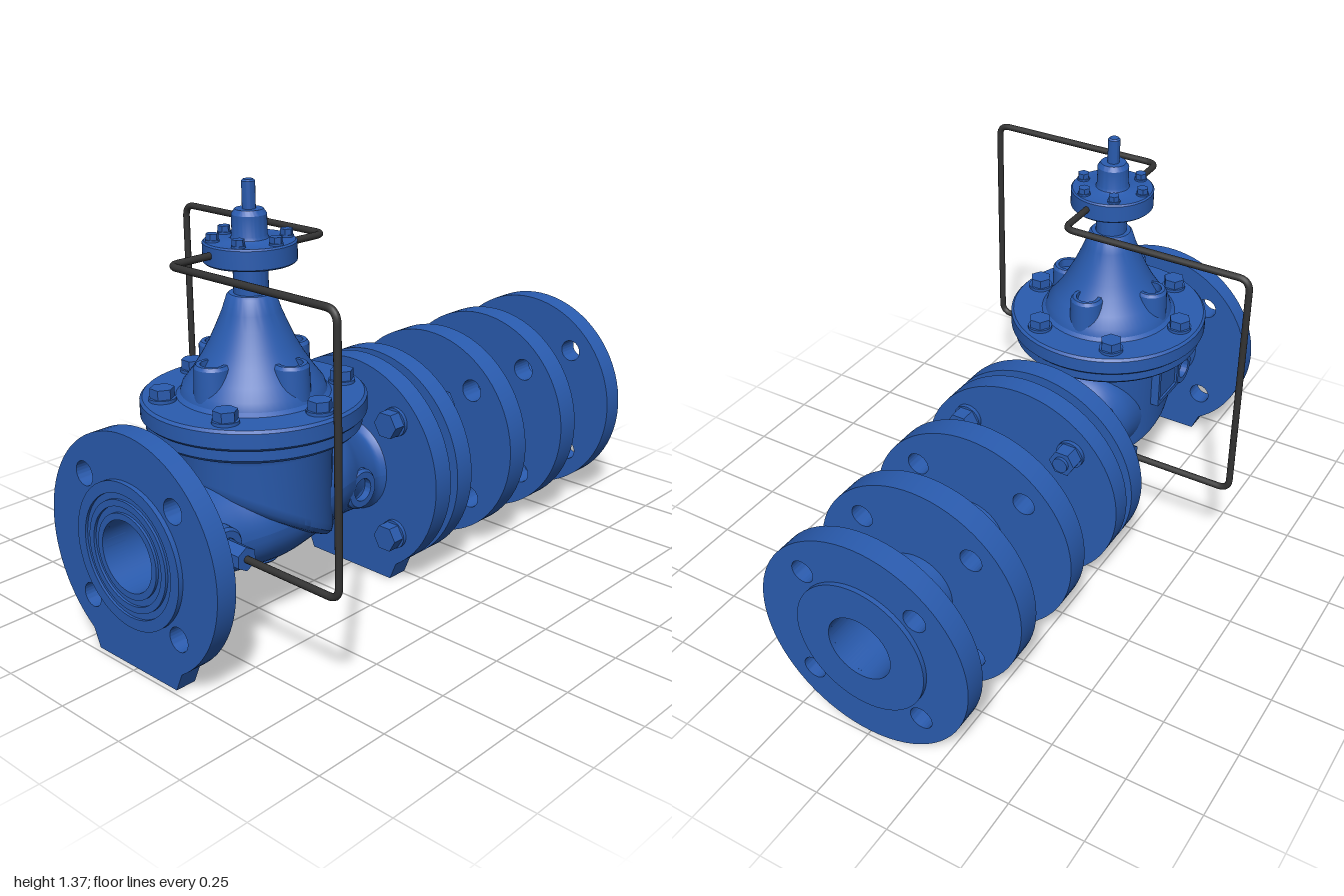
import * as THREE from 'three';
import { toCreasedNormals } from 'three/addons/utils/BufferGeometryUtils.js';

const BLUE = new THREE.MeshStandardMaterial({ color: 0x2a5cb0 });
const DARK = new THREE.MeshStandardMaterial({ color: 0x333333 });
const AXIS_Y = 0.365, VALVE_X = -0.495, FLANGE_R = 0.365, BORE_R = 0.11;

function add(parent, name, geometry, material = BLUE) {
  const mesh = new THREE.Mesh(geometry, material);
  mesh.name = name;
  parent.add(mesh);
  return mesh;
}

// Turned part about y; profile runs counterclockwise as [radius, height]
function turned(profile, segments = 64) {
  const g = new THREE.LatheGeometry(profile.map(([r, y]) => new THREE.Vector2(r, y)), segments);
  return toCreasedNormals(g, 0.55);
}
const turnedX = (profile) => turned(profile).rotateZ(-Math.PI / 2);

const hex = (r, h) => toCreasedNormals(new THREE.CylinderGeometry(r, r, h, 6), 0.5);

function circlePath(x, y, r) {
  const p = new THREE.Path();
  p.absarc(x, y, r, 0, Math.PI * 2, true);
  return p;
}

// Four bolt positions around the pipe axis, as [y, z] offsets
const BOLTS = [[1, 1], [1, -1], [-1, 1], [-1, -1]].map(([a, b]) => [a * 0.195, b * 0.195]);

// Drilled pipe flange, optionally with a flat-bottomed foot
function flange(x0, x1, foot) {
  const s = new THREE.Shape();
  if (foot) {
    s.absarc(0, 0, FLANGE_R, -0.99, Math.PI + 0.99, false);
    s.lineTo(-0.175, -FLANGE_R);
    s.lineTo(0.175, -FLANGE_R);
    s.closePath();
  } else s.absarc(0, 0, FLANGE_R, 0, Math.PI * 2, false);
  s.holes.push(circlePath(0, 0, BORE_R));
  for (const [y, z] of BOLTS) s.holes.push(circlePath(z, y, 0.038));
  const g = new THREE.ExtrudeGeometry(s, { depth: x1 - x0, bevelEnabled: false, curveSegments: 36 });
  return toCreasedNormals(g.rotateY(Math.PI / 2).translate(x0, 0, 0), 0.5);
}

// Valve body along x: elliptical sections of changing height and width
function bodyGeometry() {
  const xs = [-0.93, -0.9, -0.8, -0.7, -0.6, -0.5, -0.4, -0.3, -0.25, -0.2, -0.12, -0.09, -0.06];
  const sections = [ // top y, bottom y, half width in z
    0.54, 0.18, 0.178, 0.507, 0.214, 0.15, 0.5, 0.212, 0.15, 0.505, 0.205, 0.165,
    0.52, 0.2, 0.19, 0.54, 0.195, 0.2, 0.58, 0.21, 0.205, 0.605, 0.228, 0.2,
    0.595, 0.23, 0.185, 0.565, 0.227, 0.165, 0.515, 0.222, 0.148, 0.508, 0.22, 0.146, 0.53, 0.2, 0.165];
  const at = new THREE.CubicInterpolant(xs, sections, 3);
  const g = new THREE.CylinderGeometry(1, 1, 1, 48, 70, true).rotateZ(-Math.PI / 2);
  const p = g.attributes.position;
  for (let i = 0; i < p.count; i++) {
    const x = -0.93 + (p.getX(i) + 0.5) * 0.87;
    const [top, bottom, half] = at.evaluate(Math.min(x, -0.0601));
    p.setXYZ(i, x, (top + bottom) / 2 + p.getY(i) * (top - bottom) / 2, p.getZ(i) * half);
  }
  g.computeVertexNormals();
  return g;
}

// Upright bowl with a slanted floor and the lower bonnet flange on top
function bowlGeometry() {
  const g = new THREE.LatheGeometry([[0, 0], [0.19, 0], [0.215, 0.008], [0.23, 0.025], [0.235, 0.05],
    [0.235, 0.58], [0.24, 0.605], [0.255, 0.625], [0.315, 0.625], [0.325, 0.635], [0.325, 0.665], [0, 0.665]]
    .map(([r, y]) => new THREE.Vector2(r, y)), 64);
  const p = g.attributes.position;
  for (let i = 0; i < p.count; i++)
    if (p.getY(i) < 0.1) p.setY(i, p.getY(i) + 0.33 - 0.56 * p.getX(i));
  return toCreasedNormals(g, 0.55);
}

// Pipe run with rounded corners
function bentTube(points, radius, bend) {
  const v = points.map((p) => new THREE.Vector3(...p));
  const path = new THREE.CurvePath();
  let from = v[0];
  for (let i = 1; i < v.length - 1; i++) {
    const a = v[i - 1].clone().sub(v[i]).setLength(bend).add(v[i]);
    const b = v[i + 1].clone().sub(v[i]).setLength(bend).add(v[i]);
    path.add(new THREE.LineCurve3(from, a));
    path.add(new THREE.QuadraticBezierCurve3(a, v[i], b));
    from = b;
  }
  path.add(new THREE.LineCurve3(from, v[v.length - 1]));
  return new THREE.TubeGeometry(path, 260, radius, 12);
}

// Ring of hex bolts with washers
function boltRing(parent, name, ring, y, r, h) {
  for (let i = 0; i < 6; i++) {
    const a = Math.PI / 2 + i * Math.PI / 3;
    const x = Math.cos(a) * ring, z = Math.sin(a) * ring;
    add(parent, name, hex(r, h)).position.set(x, y + h / 2, z);
    add(parent, name + 'Washer', new THREE.CylinderGeometry(r * 1.1, r * 1.1, h * 0.25, 24))
      .position.set(x, y + h * 0.125, z);
  }
}

export function createModel() {
  const model = new THREE.Group();
  model.name = 'controlValveWithPipe';

  // Flanges and pipe along the x axis
  const run = new THREE.Group();
  run.name = 'pipeRun';
  run.position.y = AXIS_Y;
  model.add(run);
  add(run, 'inletFlange', flange(-0.985, -0.918, true));
  add(run, 'outletFlange', flange(-0.07, 0.003, true));
  for (const [a, b] of [[0.038, 0.11], [0.32, 0.405], [0.615, 0.7], [0.91, 0.985]])
    add(run, 'pipeFlange', flange(a, b, false));
  add(run, 'gasketFaces', turnedX([[BORE_R, 0], [0.225, 0], [0.225, 0.04], [BORE_R, 0.04]]));
  add(run, 'inletFaceAndBore', turnedX([[0, -0.68], [BORE_R, -0.68], [BORE_R, -1], [0.13, -1], [0.13, -0.992],
    [0.15, -0.992], [0.15, -1], [0.17, -1], [0.17, -0.992], [0.19, -0.992], [0.19, -1], [0.225, -1], [0.225, -0.98]]));
  add(run, 'pipeAndBore', turnedX([[0.123, 0.1], [0.123, 0.98], [0.225, 0.98], [0.225, 1], [BORE_R, 1],
    [BORE_R, -0.35], [0, -0.35]]));

  // Flange bolts and nuts
  for (const [y, z] of BOLTS) {
    const rod = (name, g, x) => add(run, name, g.rotateZ(-Math.PI / 2)).position.set(x, y, z);
    rod('flangeBolt', new THREE.CylinderGeometry(0.026, 0.026, 0.29, 24), 0.04);
    rod('boltHead', hex(0.045, 0.045), -0.1);
    rod('boltWasher', new THREE.CylinderGeometry(0.048, 0.048, 0.012, 24), -0.076);
    rod('nutWasher', new THREE.CylinderGeometry(0.048, 0.048, 0.014, 24), 0.117);
    rod('nut', hex(0.045, 0.05), 0.149);
  }

  // Valve body
  add(model, 'valveBody', bodyGeometry());
  const valve = new THREE.Group();
  valve.name = 'valve';
  valve.position.x = VALVE_X;
  model.add(valve);
  add(valve, 'bowl', bowlGeometry());
  add(valve, 'drainBoss', turned([[0, 0.18], [0.058, 0.18], [0.065, 0.187], [0.065, 0.25]]));
  const frame = new THREE.Shape([[-0.08, -0.08], [0.08, -0.08], [0.08, 0.08], [-0.08, 0.08]]
    .map((p) => new THREE.Vector2(...p)));
  frame.holes.push(new THREE.Path([[-0.065, -0.065], [-0.065, 0.065], [0.065, 0.065], [0.065, -0.065]]
    .map((p) => new THREE.Vector2(...p))));
  add(valve, 'plateFrame', new THREE.ExtrudeGeometry(frame, { depth: 0.05, bevelEnabled: false }))
    .position.set(0, 0.52, -0.25);
  add(valve, 'plate', new THREE.BoxGeometry(0.14, 0.14, 0.04)).position.set(0, 0.52, -0.222);

  // Bonnet
  add(valve, 'bonnet', turned([[0, 0.668], [0.332, 0.668], [0.34, 0.676], [0.34, 0.722], [0.332, 0.73],
    [0.232, 0.73], [0.22, 0.74], [0.212, 0.765], [0.185, 0.8], [0.155, 0.845], [0.13, 0.89], [0.107, 0.94],
    [0.088, 0.985], [0.073, 1.03], [0.066, 1.037], [0, 1.037]]));
  for (let i = 0; i < 4; i++) {
    const a = i * Math.PI / 2;
    add(valve, 'bonnetBoss', turned([[0.058, 0.74], [0.055, 0.845], [0.048, 0.855], [0.036, 0.855],
      [0.036, 0.825], [0, 0.825]], 32)).position.set(Math.cos(a) * 0.16, 0, Math.sin(a) * 0.16);
  }
  boltRing(valve, 'bonnetBolt', 0.275, 0.73, 0.037, 0.04);

  // Pilot head
  add(valve, 'pilotHead', turned([[0.052, 1.03], [0.052, 1.13], [0.133, 1.13], [0.138, 1.135], [0.138, 1.19],
    [0.133, 1.195], [0.065, 1.195], [0.056, 1.2], [0.052, 1.21], [0.052, 1.27], [0.042, 1.285], [0.02, 1.285],
    [0.02, 1.365], [0.015, 1.37], [0, 1.37]]));
  boltRing(valve, 'pilotBolt', 0.11, 1.195, 0.019, 0.024);

  // Side ports, fittings and control tubes, repeated by a half turn
  for (const turn of [0, Math.PI]) {
    const side = new THREE.Group();
    side.name = 'controlLine';
    side.rotation.y = turn;
    valve.add(side);
    for (const x of [-0.287, 0.287])
      add(side, 'portBoss', turned([[0.07, 0.08], [0.066, 0.17], [0.058, 0.18], [0.037, 0.18], [0.037, 0.155],
        [0, 0.155]], 40).rotateX(Math.PI / 2)).position.set(x, AXIS_Y, 0);
    add(side, 'tubeFitting', hex(0.037, 0.1).rotateX(Math.PI / 2)).position.set(-0.287, AXIS_Y, 0.212);
    add(side, 'controlTube', bentTube([[-0.1, 1.165, -0.022], [-0.287, 1.165, -0.022], [-0.287, 1.165, 0.618],
      [-0.287, AXIS_Y, 0.618], [-0.287, AXIS_Y, 0.2]], 0.011, 0.04), DARK);
  }
  return model;
}
